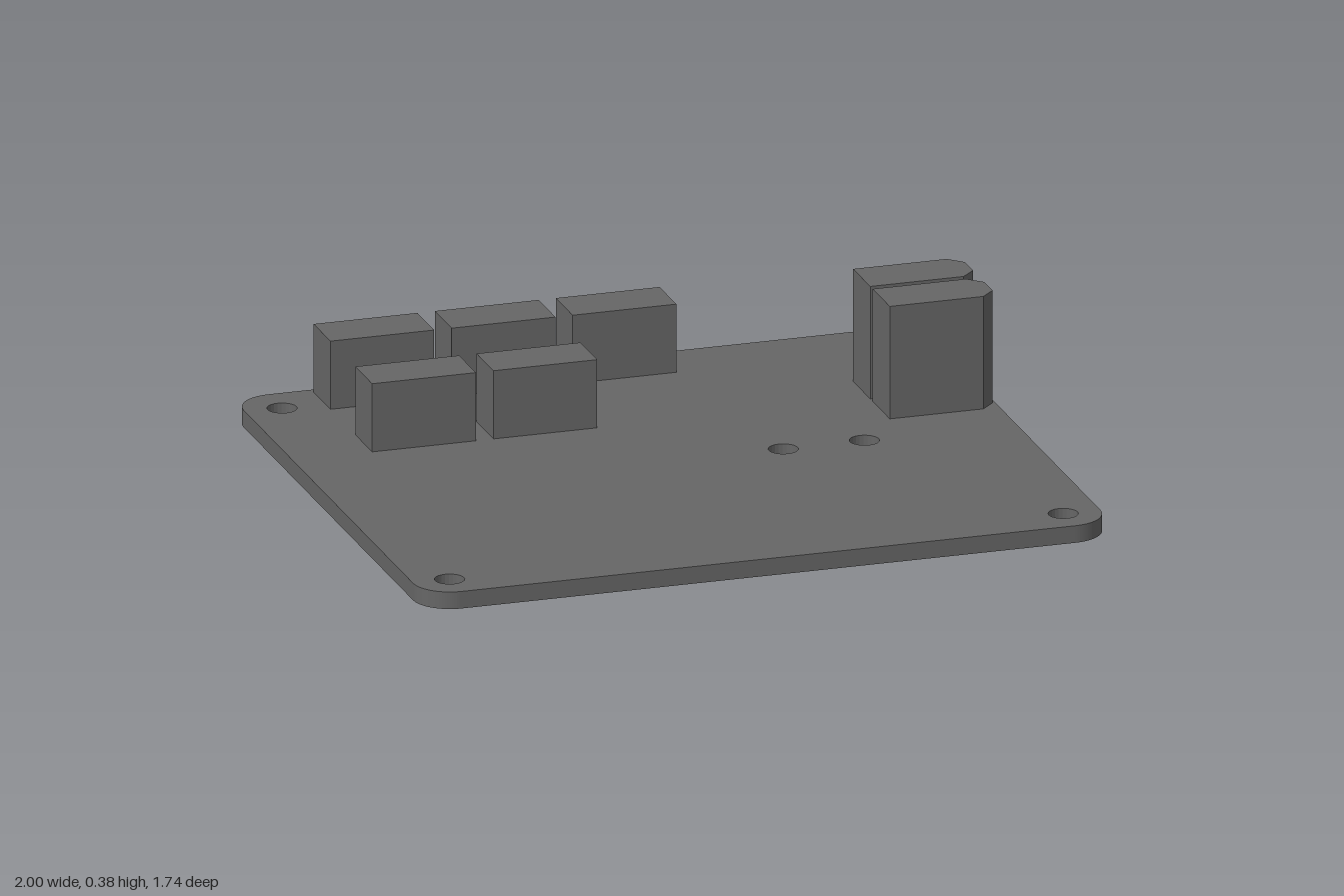
import * as THREE from 'three';

const material = new THREE.MeshStandardMaterial({ color: 0x666666 });
const BOARD_TOP = 0.05;

// Extrudes a plan outline (x, -z) upward from y = base.
function extrudeUp(name, shape, base, height) {
  const geometry = new THREE.ExtrudeGeometry(shape, { depth: height, bevelEnabled: false, curveSegments: 12 });
  geometry.rotateX(-Math.PI / 2);
  geometry.translate(0, base, 0);
  const mesh = new THREE.Mesh(geometry, material);
  mesh.name = name;
  return mesh;
}

// Rounded plate with four mounting holes and two inner holes
function createBoard() {
  const w = 1, d = 0.868, r = 0.107;
  const shape = new THREE.Shape();
  shape.absarc(w - r, d - r, r, 0, Math.PI / 2);
  shape.absarc(-w + r, d - r, r, Math.PI / 2, Math.PI);
  shape.absarc(-w + r, -d + r, r, Math.PI, Math.PI * 1.5);
  shape.absarc(w - r, -d + r, r, Math.PI * 1.5, Math.PI * 2);
  shape.closePath();

  const holes = [[0.322, 0.006], [0.558, 0.006]];
  for (const x of [-0.893, 0.893]) for (const z of [-0.747, 0.759]) holes.push([x, z]);
  for (const [x, z] of holes) {
    shape.holes.push(new THREE.Path().absarc(x, -z, 0.042, 0, Math.PI * 2, true));
  }
  return extrudeUp('board', shape, 0, BOARD_TOP);
}

// Plain rectangular connector block
function createConnector(x, z) {
  const height = 0.2;
  const mesh = new THREE.Mesh(new THREE.BoxGeometry(0.302, height, 0.151), material);
  mesh.position.set(x, BOARD_TOP + height / 2, z);
  mesh.name = 'connectorBlock';
  return mesh;
}

// Tall socket with its two outer vertical edges chamfered
function createSocket(z) {
  const back = 0.68, front = 0.992, half = 0.077, cut = 0.04;
  const shape = new THREE.Shape([
    [back, -half], [front - cut, -half], [front, -half + cut],
    [front, half - cut], [front - cut, half], [back, half],
  ].map(([x, y]) => new THREE.Vector2(x, y)));
  const mesh = extrudeUp('tallSocket', shape, BOARD_TOP, 0.33);
  mesh.position.z = z;
  return mesh;
}

export function createModel() {
  const model = new THREE.Group();
  model.name = 'circuitBoard';
  model.add(createBoard());

  // Three blocks along the back edge, two in the inner row
  for (const x of [-0.618, -0.265, 0.087]) model.add(createConnector(x, -0.771));
  for (const x of [-0.618, -0.265]) model.add(createConnector(x, -0.396));

  for (const z of [-0.395, -0.219]) model.add(createSocket(z));
  return model;
}
